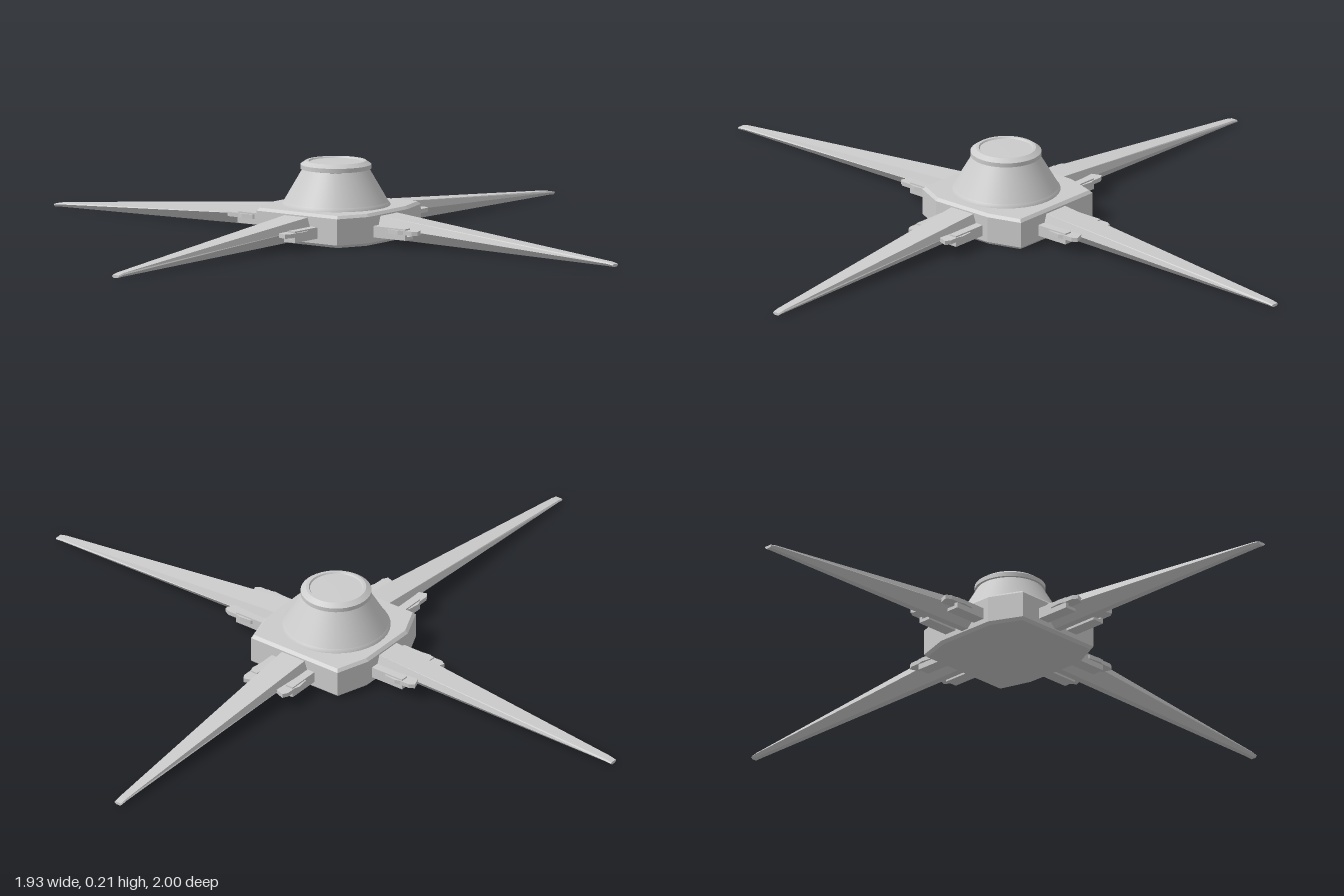
import * as THREE from 'three';

const grey = new THREE.MeshStandardMaterial({ color: 0xcccccc });
const facet = new THREE.MeshStandardMaterial({ color: 0xcccccc, flatShading: true });

function addMesh(parent, name, geometry, material = facet) {
  const mesh = new THREE.Mesh(geometry, material);
  mesh.name = name;
  parent.add(mesh);
  return mesh;
}

const shapeOf = (points) => new THREE.Shape(points.map(([x, y]) => new THREE.Vector2(x, y)));

// Joins counter-clockwise sections of equal size along +z, with end caps
function loft(sections) {
  const n = sections[0].points.length;
  const positions = sections.flatMap(({ z, points }) => points.flatMap(([x, y]) => [x, y, z]));
  const index = [];
  for (let s = 0; s < sections.length - 1; s++) {
    for (let i = 0; i < n; i++) {
      const a = s * n + i, b = s * n + (i + 1) % n;
      index.push(a, b, b + n, a, b + n, a + n);
    }
  }
  const last = (sections.length - 1) * n;
  for (let i = 1; i < n - 1; i++) {
    index.push(0, i + 1, i, last, last + i, last + i + 1);
  }
  const geometry = new THREE.BufferGeometry();
  geometry.setAttribute('position', new THREE.Float32BufferAttribute(positions, 3));
  geometry.setIndex(index);
  const flat = geometry.toNonIndexed();
  flat.computeVertexNormals();
  return flat;
}

// Six-sided blade section: flat top, widest at mid height, narrow keel
function bladeSection(z, centre, top, mid, keel) {
  const points = [
    [-keel[0], keel[1]], [keel[0], keel[1]], [mid[0], mid[1]],
    [top[0], top[1]], [-top[0], top[1]], [-mid[0], mid[1]],
  ];
  return { z, points: points.map(([x, y]) => [x + centre, y]) };
}

// One arm pointing along +z, with a hinge bracket on either side
function createArm(length, rootShift, tipShift) {
  const arm = new THREE.Group();
  addMesh(arm, 'blade', loft([
    bladeSection(0.15, rootShift, [0.041, 0.081], [0.051, 0.052], [0.011, 0.012]),
    bladeSection(length - 0.02, tipShift, [0.011, 0.012], [0.014, 0.008], [0.007, 0.001]),
    bladeSection(length, tipShift, [0.010, 0.008], [0.013, 0.005], [0.007, 0]),
  ]));

  // C-shaped channel, open towards the blade
  const channel = shapeOf([
    [0.036, 0.022], [0.074, 0.022], [0.074, 0.054], [0.05, 0.054],
    [0.05, 0.046], [0.064, 0.046], [0.064, 0.031], [0.036, 0.031],
  ]);
  // Plate outline seen from above, stepped along its outer edge
  const plate = shapeOf([
    [0.04, 0.2], [0.062, 0.2], [0.068, 0.225], [0.078, 0.235], [0.082, 0.27],
    [0.077, 0.285], [0.077, 0.315], [0.068, 0.33], [0.04, 0.32],
  ]);
  for (const side of [-1, 1]) {
    const rail = new THREE.ExtrudeGeometry(channel, { depth: 0.13, bevelEnabled: false });
    rail.translate(0, 0, 0.16);
    const wing = new THREE.ExtrudeGeometry(plate, { depth: 0.012, bevelEnabled: false });
    wing.rotateX(Math.PI / 2).translate(0, 0.05, 0);
    const bracket = new THREE.Group();
    bracket.name = 'hingeBracket';
    addMesh(bracket, 'bracketRail', rail);
    addMesh(bracket, 'bracketPlate', wing);
    bracket.scale.x = side;
    bracket.position.x = rootShift;
    arm.add(bracket);
  }
  return arm;
}

export function createModel() {
  const model = new THREE.Group();
  model.name = 'fourArmedStand';

  // Eight-sided hub with a small chamfer
  const bevel = 0.008;
  const hub = new THREE.ExtrudeGeometry(shapeOf([
    [-0.137, -0.177], [0.133, -0.177], [0.173, -0.095], [0.15, 0], [0.17, 0.09],
    [0.143, 0.182], [-0.147, 0.182], [-0.177, 0.09], [-0.177, -0.09],
  ].filter(([x, y]) => y !== 0)), {
    depth: 0.09 - 2 * bevel, bevelThickness: bevel, bevelSize: bevel, bevelSegments: 1,
  });
  hub.rotateX(-Math.PI / 2).translate(0, bevel, 0);
  addMesh(model, 'hub', hub);

  // Conical dome and its capped collar; each profile run keeps its own smooth normals
  const dome = new THREE.Group();
  dome.name = 'dome';
  dome.position.x = -0.004;
  const runs = {
    domeFoot: [[0.152, 0.086], [0.152, 0.092], [0.146, 0.1]],
    domeCone: [[0.146, 0.1], [0.092, 0.193]],
    collarUnderside: [[0.088, 0.19], [0.099, 0.192]],
    collarSide: [[0.099, 0.192], [0.099, 0.204]],
    collarChamfer: [[0.099, 0.204], [0.084, 0.214]],
    collarLip: [[0.084, 0.214], [0.076, 0.214]],
    capSlope: [[0.076, 0.214], [0.073, 0.21]],
    capTop: [[0.073, 0.21], [0, 0.211]],
  };
  for (const [name, run] of Object.entries(runs)) {
    const profile = run.map(([r, y]) => new THREE.Vector2(r, y));
    addMesh(dome, name, new THREE.LatheGeometry(profile, 40), grey);
  }
  model.add(dome);

  // Arms: name, turn, length, sideways shift at root and tip
  const arms = [
    ['frontArm', 0, 1, -0.004, -0.025],
    ['leftArm', Math.PI / 2, 0.965, 0, 0],
    ['backArm', Math.PI, 1, -0.002, 0],
    ['rightArm', -Math.PI / 2, 0.97, 0, 0.003],
  ];
  for (const [name, turn, length, rootShift, tipShift] of arms) {
    const arm = createArm(length, rootShift, tipShift);
    arm.name = name;
    arm.rotation.y = turn;
    model.add(arm);
  }
  return model;
}
